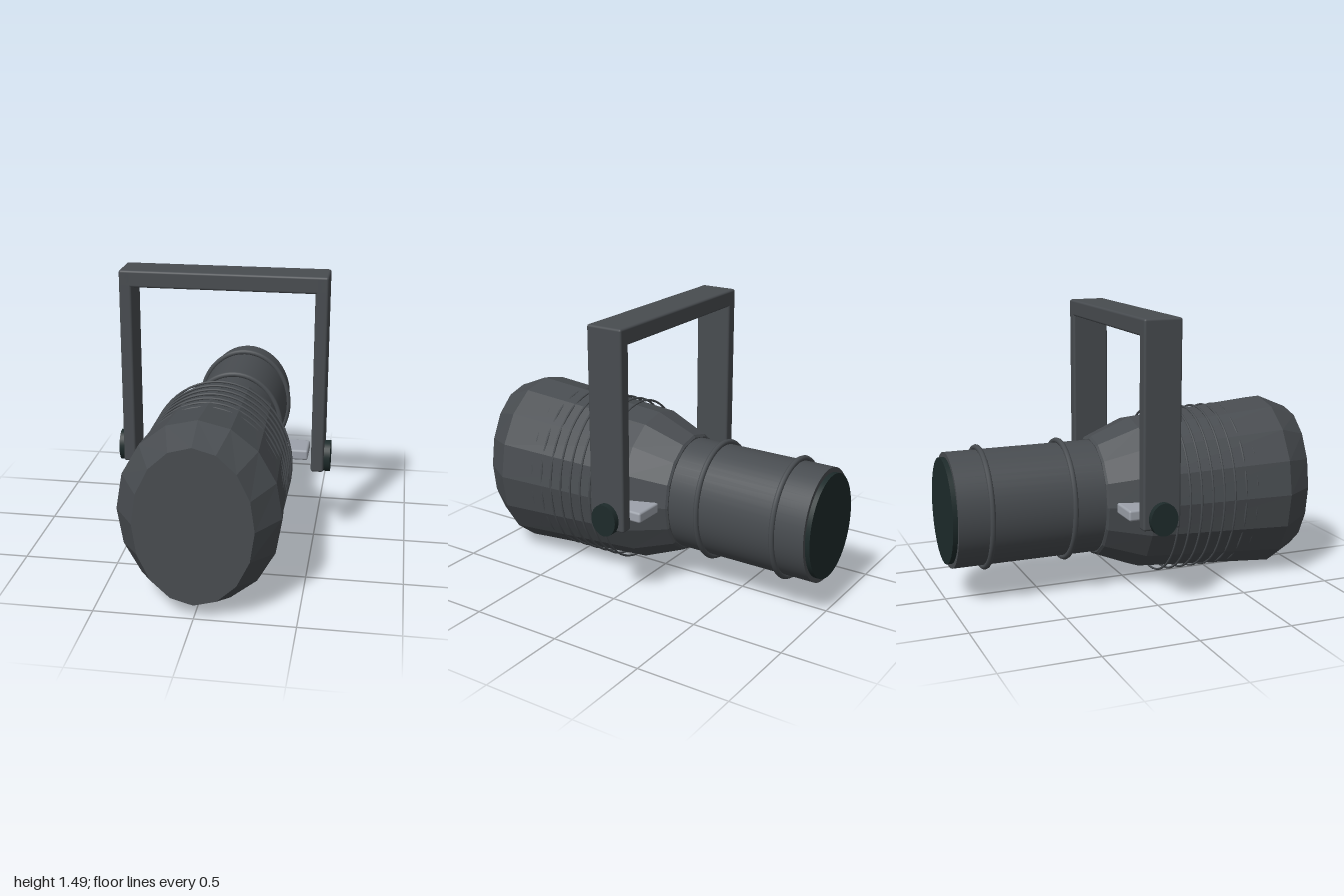
import * as THREE from 'three';
import { RoundedBoxGeometry } from 'three/addons/geometries/RoundedBoxGeometry.js';

const AXIS_Y = 0.485; // height of the lamp's long axis

// Faceted loft through elliptical sections [z, rx, ry], back to front, capped at both ends
function loft(sections, sides) {
  const pos = [];
  const point = ([z, rx, ry], i) => {
    const a = (i / sides) * Math.PI * 2;
    return [rx * Math.sin(a), ry * Math.cos(a), z];
  };
  const first = sections[0], last = sections[sections.length - 1];
  for (let i = 0; i < sides; i++) {
    for (let s = 0; s < sections.length - 1; s++) {
      const a = point(sections[s], i), b = point(sections[s], i + 1);
      const c = point(sections[s + 1], i + 1), d = point(sections[s + 1], i);
      pos.push(...a, ...d, ...c, ...a, ...c, ...b);
    }
    pos.push(0, 0, first[0], ...point(first, i), ...point(first, i + 1));
    pos.push(0, 0, last[0], ...point(last, i + 1), ...point(last, i));
  }
  const g = new THREE.BufferGeometry();
  g.setAttribute('position', new THREE.Float32BufferAttribute(pos, 3));
  g.computeVertexNormals();
  return g;
}

// Smooth elliptical cylinder along z
function barrel(rx, ry, z0, z1) {
  return new THREE.CylinderGeometry(1, 1, Math.abs(z1 - z0), 48)
    .rotateX(Math.PI / 2).scale(rx, ry, 1).translate(0, 0, (z0 + z1) / 2);
}

// Elliptical ring of round wire lying across the z axis
function ring(rx, ry, tube, z) {
  const pts = [];
  for (let i = 0; i < 48; i++) {
    const a = (i / 48) * Math.PI * 2;
    pts.push(new THREE.Vector3(rx * Math.cos(a), ry * Math.sin(a), z));
  }
  return new THREE.TubeGeometry(new THREE.CatmullRomCurve3(pts, true), 64, tube, 8, true);
}

export function createModel() {
  const model = new THREE.Group();
  model.name = 'stageSpotlight';

  const material = (name, color) => {
    const m = new THREE.MeshStandardMaterial({ color });
    m.name = name;
    return m;
  };
  const grey = material('charcoal grey', 0x484c50);
  const dark = material('dark green black', 0x1e2b2b);
  const silver = material('silver', 0x9da2ab);

  const lamp = new THREE.Group();
  lamp.name = 'lamp';
  lamp.position.y = AXIS_Y;
  model.add(lamp);

  const add = (parent, name, geometry, mat, x = 0, y = 0, z = 0) => {
    const mesh = new THREE.Mesh(geometry, mat);
    mesh.name = name;
    mesh.position.set(x, y, z);
    parent.add(mesh);
  };

  // Faceted housing
  add(lamp, 'housing', loft([
    [-0.19, 0.27, 0.315], [-0.18, 0.28, 0.328], [0.04, 0.362, 0.417],
    [0.83, 0.407, 0.481], [1.0, 0.295, 0.408],
  ], 16), grey);

  // Cooling ribs
  for (let i = 0; i < 8; i++) {
    add(lamp, 'coolingRib', ring(0.384, 0.45, 0.006, 0.17 + i * 0.066), grey);
  }

  // Lens tube with two bands and a dark lens
  add(lamp, 'lensTube', barrel(0.26, 0.306, -0.15, -0.975), grey);
  for (const z of [-0.362, -0.802]) add(lamp, 'tubeBand', ring(0.267, 0.317, 0.015, z), grey);
  add(lamp, 'lens', barrel(0.24, 0.28, -0.96, -1.0), dark);

  // Hanging yoke: crossbar and two legs
  const yoke = new THREE.Group();
  yoke.name = 'yoke';
  model.add(yoke);
  add(yoke, 'crossbar', new RoundedBoxGeometry(1.095, 0.09, 0.205, 2, 0.012), grey, 0, 1.45, 0);

  for (const side of [-1, 1]) {
    add(yoke, 'leg', new RoundedBoxGeometry(0.067, 1.07, 0.205, 2, 0.012), grey, side * 0.514, 0.96, 0);
    // Tilt knob
    const knob = new THREE.CylinderGeometry(1, 1, 0.09, 32)
      .rotateZ(Math.PI / 2).scale(1, 0.086, 0.074);
    add(yoke, 'tiltKnob', knob, dark, side * 0.535, AXIS_Y, 0);
    // Pivot peg between housing and yoke
    add(lamp, 'pivotPeg', new RoundedBoxGeometry(0.2, 0.058, 0.165, 2, 0.012), silver, side * 0.357, 0, -0.06);
  }

  return model;
}
